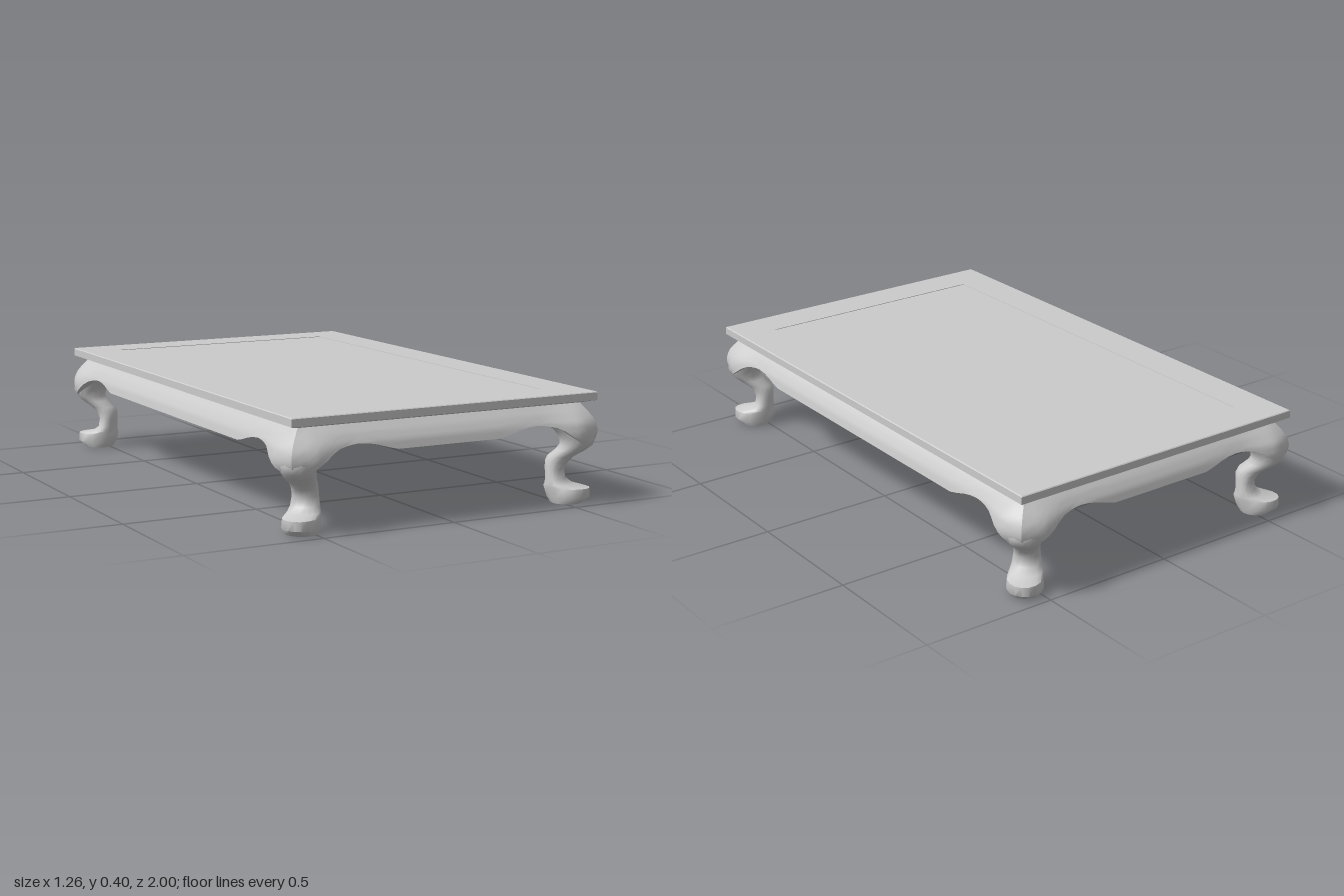
import * as THREE from 'three';
import { toCreasedNormals } from 'three/addons/utils/BufferGeometryUtils.js';

const SHIFT = 0.37;      // the table is this much longer (per half) than it is wide
const TOP = 0.362;       // height where the apron meets the tabletop
const UNDERSIDE = 0.302; // height of the closed underside between the aprons
const INNER = 0.56;      // inner face of the aprons

// Piecewise linear lookup in [[x, y], ...]
function lookup(table, x) {
  if (x <= table[0][0]) return table[0][1];
  for (let i = 1; i < table.length; i++) {
    const [x0, y0] = table[i - 1], [x1, y1] = table[i];
    if (x <= x1) return y0 + (y1 - y0) * (x - x0) / (x1 - x0);
  }
  return table[table.length - 1][1];
}

// Skin over rows of points; columns x rows gives the outward side
function skin(rows, closed, crease) {
  const n = rows[0].length, index = [];
  for (let i = 0; i < rows.length - 1; i++) {
    for (let j = 0; j < (closed ? n : n - 1); j++) {
      const k = (j + 1) % n;
      const a = i * n + j, b = i * n + k, c = (i + 1) * n + k, d = (i + 1) * n + j;
      index.push(a, b, c, a, c, d);
    }
  }
  const g = new THREE.BufferGeometry();
  g.setAttribute('position', new THREE.Float32BufferAttribute(rows.flat(2), 3));
  g.setIndex(index);
  return toCreasedNormals(g, crease);
}

// Tabletop and underside block: rectangular rings [half width, height]
function tabletopGeometry() {
  const rings = [[0, UNDERSIDE], [INNER, UNDERSIDE], [0.55, 0.36], [0.565, 0.36], [0.603, 0.37],
    [0.603, 0.397], [0.6, 0.4], [0.46, 0.4], [0.46, 0.398], [0, 0.398]];
  const rows = rings.map(([w, y]) => {
    const d = w + SHIFT;
    return [[w, y, d], [w, y, -d], [-w, y, -d], [-w, y, d]];
  });
  return skin(rows, true, 0.2);
}

// Apron: lower edge by distance along the side, and bulge by height
const LOWER_EDGE = [[0.205, 0.267], [0.24, 0.275], [0.28, 0.287], [0.315, 0.294], [0.35, 0.297],
  [0.39, 0.294], [0.43, 0.285], [0.46, 0.271], [0.48, 0.257], [0.505, 0.24], [0.53, 0.225],
  [0.57, 0.205], [0.605, 0.195]];
const MIDDLE = [[0.266, 0.606], [0.3, 0.599], [0.33, 0.582], [0.362, 0.556]];
const KNEE = [[0.19, 0.6], [0.21, 0.615], [0.235, 0.628], [0.26, 0.63], [0.295, 0.621],
  [0.33, 0.59], [0.362, 0.556]];
const CORNER = [[0.19, 0.572], [0.21, 0.59], [0.24, 0.604], [0.27, 0.605], [0.3, 0.598],
  [0.33, 0.58], [0.362, 0.556]];

function apronGeometry(alongShift, outShift) {
  const half = [0, 0.205, 0.24, 0.28, 0.315, 0.35, 0.375, 0.4, 0.43, 0.46, 0.48, 0.505, 0.525,
    0.55, 0.58, 0.605];
  const stations = [...half.slice(1).reverse().map(a => [a, -1]), ...half.slice(1).map(a => [a, 1])];
  const STEPS = 9;

  // Outward distance, blending middle -> knee -> corner
  const bulge = (a, y) => a < 0.525
    ? THREE.MathUtils.lerp(lookup(MIDDLE, y), lookup(KNEE, y), THREE.MathUtils.smoothstep(a, 0.37, 0.525))
    : THREE.MathUtils.lerp(lookup(KNEE, y), lookup(CORNER, y), ((a - 0.525) / 0.08) ** 1.3);
  const along = (a, y) => a < 0.525 ? a
    : 0.525 + (a - 0.525) / 0.08 * (lookup(CORNER, y) - 0.525);

  const row = f => stations.map(([a, s]) => {
    const [x, y, z] = f(a, lookup(LOWER_EDGE, a));
    return [s * (x + alongShift), y, z + outShift];
  });
  const rows = [
    row(a => [Math.min(a, INNER), UNDERSIDE, INNER]),
    row((a, low) => [Math.min(a, INNER), Math.min(low + 0.01, UNDERSIDE), INNER]),
    row((a, low) => [along(a, low), low, bulge(a, low) - 0.012]),
  ];
  for (let i = 0; i <= STEPS; i++) {
    rows.push(row((a, low) => {
      const y = low + (TOP - low) * i / STEPS;
      return [along(a, y), y, bulge(a, y)];
    }));
  }
  return skin(rows, false, 0.6);
}

// Cabriole leg: oval sections [height, inner, outer, half width across the diagonal]
const LEG = [[0, 0.53, 0.53, 0], [0, 0.473, 0.585, 0.056], [0.022, 0.463, 0.605, 0.064],
  [0.055, 0.457, 0.603, 0.062], [0.066, 0.456, 0.564, 0.058], [0.085, 0.457, 0.546, 0.052],
  [0.12, 0.458, 0.54, 0.047], [0.145, 0.46, 0.548, 0.046], [0.165, 0.467, 0.561, 0.047],
  [0.19, 0.486, 0.592, 0.053], [0.21, 0.494, 0.611, 0.0585], [0.235, 0.489, 0.62, 0.066],
  [0.26, 0.474, 0.619, 0.074], [0.28, 0.455, 0.617, 0.082], [0.305, 0.43, 0.605, 0.09],
  [0.355, 0.47, 0.545, 0.037]];

function legGeometry(sx, sz) {
  const SIDES = 16;
  const rows = LEG.map(([y, inner, outer, across]) => {
    const c = (inner + outer) / 2, h = (outer - inner) / 2;
    const deep = Math.sqrt(Math.max(0, 2 * h * h - across * across));
    return Array.from({ length: SIDES }, (_, j) => {
      // Oval aligned with the corner diagonal
      const t = j / SIDES * Math.PI * 2, turn = Math.atan2(-sz, sx);
      const u = deep * Math.cos(t), v = across * Math.sin(t);
      return [
        sx * c + u * Math.cos(turn) - v * Math.sin(turn), y,
        sz * (c + SHIFT) - u * Math.sin(turn) - v * Math.cos(turn),
      ];
    });
  });
  return skin(rows, true, 0.9);
}

export function createModel() {
  const group = new THREE.Group();
  group.name = 'lowTable';
  const material = new THREE.MeshStandardMaterial({ color: 0xcccccc });
  const apronMaterial = new THREE.MeshStandardMaterial({ color: 0xcccccc, side: THREE.DoubleSide });
  const add = (name, geometry, mat = material) => {
    const mesh = new THREE.Mesh(geometry, mat);
    mesh.name = name;
    group.add(mesh);
    return mesh;
  };

  add('tabletop', tabletopGeometry());

  // Aprons on all four sides
  const shortApron = apronGeometry(0, SHIFT), longApron = apronGeometry(SHIFT, 0);
  ['frontApron', 'leftApron', 'backApron', 'rightApron'].forEach((name, i) => {
    add(name, i % 2 ? longApron : shortApron, apronMaterial).rotation.y = i * Math.PI / 2;
  });

  // Legs at the four corners
  for (const sx of [1, -1]) {
    for (const sz of [1, -1]) {
      add((sz > 0 ? 'front' : 'back') + (sx > 0 ? 'Left' : 'Right') + 'Leg', legGeometry(sx, sz));
    }
  }
  return group;
}
